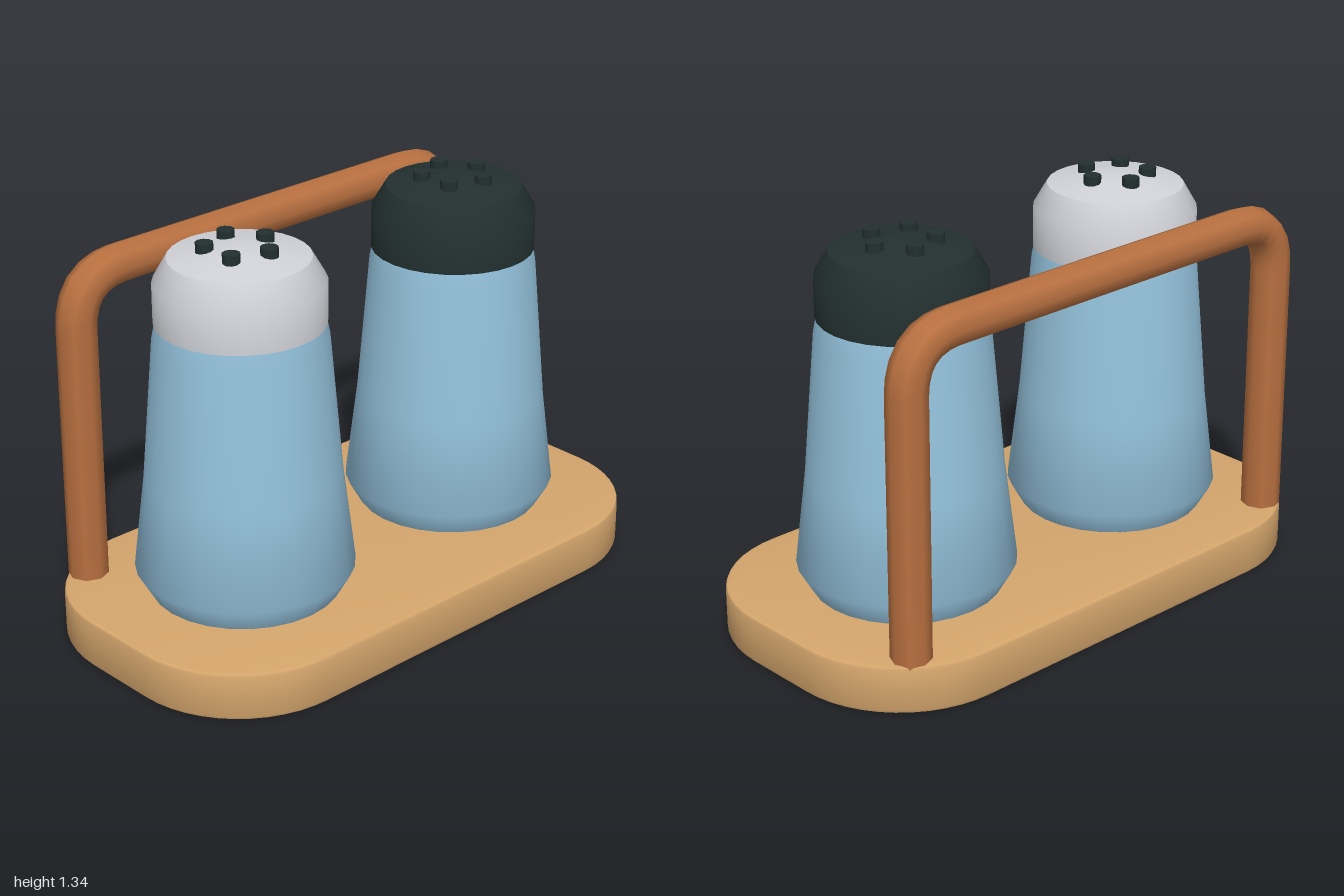
import * as THREE from 'three';
import { toCreasedNormals } from 'three/addons/utils/BufferGeometryUtils.js';

const material = (name, color) => {
  const m = new THREE.MeshStandardMaterial({ color });
  m.name = name;
  return m;
};

const mesh = (name, geometry, mat) => {
  const m = new THREE.Mesh(geometry, mat);
  m.name = name;
  return m;
};

const lathe = (points, crease) => toCreasedNormals(
  new THREE.LatheGeometry(points.map(([r, y]) => new THREE.Vector2(r, y)), 28), crease);

// Rounded rectangle board with a small bevel
function createTray(mat) {
  const bevel = 0.012, w = 1 - bevel, d = 0.533 - bevel, r = 0.4 - bevel;
  const s = new THREE.Shape();
  s.absarc(w - r, d - r, r, 0, Math.PI / 2);
  s.absarc(r - w, d - r, r, Math.PI / 2, Math.PI);
  s.absarc(r - w, r - d, r, Math.PI, Math.PI * 1.5);
  s.absarc(w - r, r - d, r, Math.PI * 1.5, Math.PI * 2);
  const g = new THREE.ExtrudeGeometry(s, {
    depth: 0.16 - 2 * bevel, bevelEnabled: true, bevelSize: bevel,
    bevelThickness: bevel, bevelSegments: 2, curveSegments: 6,
  });
  g.rotateX(-Math.PI / 2).translate(0, bevel, 0);
  return mesh('tray', toCreasedNormals(g, 0.6), mat);
}

// Carrying handle: two posts joined by a bar with rounded corners
function createHandle(mat) {
  const x = 0.8, top = 1.2, c = 0.18, z = -0.4;
  const v = (px, py) => new THREE.Vector3(px, py, z);
  const path = new THREE.CurvePath();
  path.add(new THREE.LineCurve3(v(-x, 0.12), v(-x, top - c)));
  path.add(new THREE.QuadraticBezierCurve3(v(-x, top - c), v(-x, top), v(c - x, top)));
  path.add(new THREE.LineCurve3(v(c - x, top), v(x - c, top)));
  path.add(new THREE.QuadraticBezierCurve3(v(x - c, top), v(x, top), v(x, top - c)));
  path.add(new THREE.LineCurve3(v(x, top - c), v(x, 0.12)));
  return mesh('handle', new THREE.TubeGeometry(path, 80, 0.066, 8), mat);
}

// Tapered jar, shouldered cap and five raised pour dots
function createShaker(name, x, glass, capMat, dotMat) {
  const g = new THREE.Group();
  g.name = name;
  g.position.x = x;
  g.add(mesh('jar', lathe([
    [0, 0.158], [0.31, 0.158], [0.357, 0.24], [0.318, 0.56], [0.278, 1.03], [0.266, 1.09],
  ], 0.8), glass));
  g.add(mesh('cap', lathe([
    [0, 1.08], [0.272, 1.08], [0.272, 1.215], [0.226, 1.295],
  ], 0.8), capMat));
  g.add(mesh('capTop', lathe([[0.226, 1.295], [0.1, 1.319], [0, 1.333]], 0.8), capMat));
  for (let i = 0; i < 5; i++) {
    const a = i * Math.PI * 2 / 5;
    const dot = mesh('pourDot', new THREE.CylinderGeometry(0.029, 0.029, 0.035, 10), dotMat);
    dot.position.set(Math.cos(a) * 0.107, 1.327, Math.sin(a) * 0.107);
    g.add(dot);
  }
  return g;
}

export function createModel() {
  const wood = material('light wood', 0xd4a56c);
  const handleWood = material('handle wood', 0xb87040);
  const glass = material('blue ceramic', 0x92c0da);
  const silver = material('silver', 0xd0d2d8);
  const dark = material('dark slate', 0x22302f);

  const model = new THREE.Group();
  model.name = 'shakerSet';
  model.add(
    createTray(wood),
    createHandle(handleWood),
    createShaker('saltShaker', -0.467, glass, silver, dark),
    createShaker('pepperShaker', 0.467, glass, dark, dark),
  );
  return model;
}
